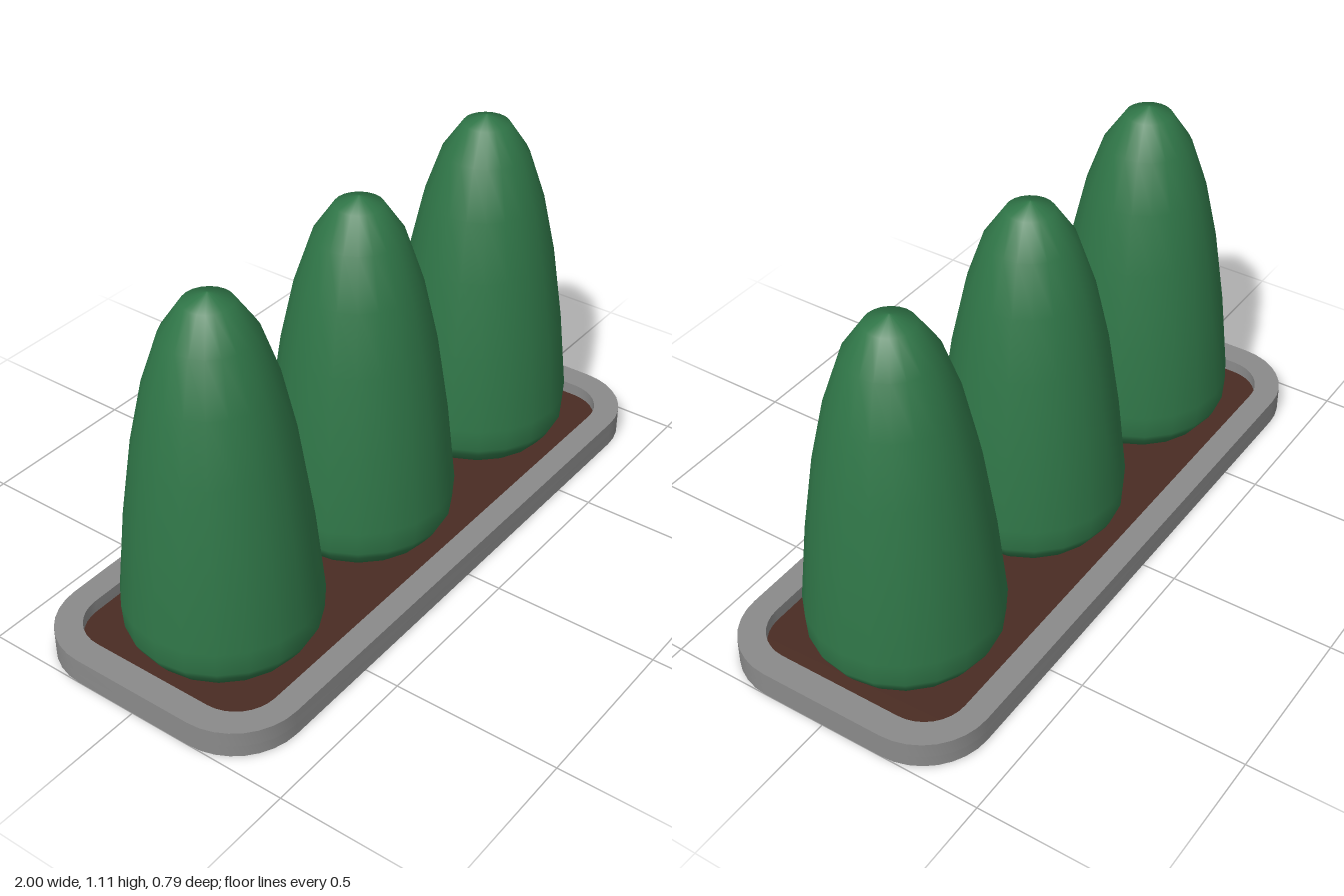
import * as THREE from 'three';
import { toCreasedNormals } from 'three/addons/utils/BufferGeometryUtils.js';

// Rounded rectangle outline, centred on the origin
function roundedRect(Type, halfW, halfD, r) {
  const s = new Type();
  s.absarc(halfW - r, halfD - r, r, 0, Math.PI / 2);
  s.absarc(-halfW + r, halfD - r, r, Math.PI / 2, Math.PI);
  s.absarc(-halfW + r, -halfD + r, r, Math.PI, Math.PI * 1.5);
  s.absarc(halfW - r, -halfD + r, r, Math.PI * 1.5, Math.PI * 2);
  s.closePath();
  return s;
}

// Horizontal slab of a given outline from y = bottom to y = top
function slab(name, shape, bottom, top, material) {
  const geo = new THREE.ExtrudeGeometry(shape, {
    depth: top - bottom, bevelEnabled: false, curveSegments: 4,
  });
  geo.rotateX(-Math.PI / 2);
  geo.translate(0, bottom, 0);
  const mesh = new THREE.Mesh(toCreasedNormals(geo, 0.6), material);
  mesh.name = name;
  return mesh;
}

export function createModel() {
  const stone = new THREE.MeshStandardMaterial({ name: 'grey stone', color: 0x8a8a8a });
  const earth = new THREE.MeshStandardMaterial({ name: 'brown soil', color: 0x4a2c23 });
  const leaf = new THREE.MeshStandardMaterial({ name: 'green foliage', color: 0x2f7547 });

  const model = new THREE.Group();
  model.name = 'planter';

  // Shallow tray: floor and raised rim
  const outer = () => roundedRect(THREE.Shape, 1, 0.395, 0.2);
  model.add(slab('trayFloor', outer(), 0, 0.035, stone));
  const rim = outer();
  rim.holes.push(roundedRect(THREE.Path, 0.92, 0.32, 0.125));
  model.add(slab('trayRim', rim, 0.035, 0.08, stone));

  // Soil bed inside the rim
  model.add(slab('soil', roundedRect(THREE.Shape, 0.92, 0.32, 0.125), 0.035, 0.042, earth));

  // Three tapered bushes
  const profile = [
    [0, 0.04], [0.235, 0.042], [0.263, 0.08], [0.276, 0.105], [0.281, 0.18],
    [0.255, 0.43], [0.22, 0.667], [0.18, 0.85], [0.13, 0.997],
    [0.069, 1.087], [0, 1.113],
  ].map(([r, y]) => new THREE.Vector2(r, y));
  const bushGeo = new THREE.LatheGeometry(profile, 20);
  for (const [i, x] of [-0.62, 0, 0.62].entries()) {
    const bush = new THREE.Mesh(bushGeo, leaf);
    bush.name = 'bush' + (i + 1);
    bush.position.x = x;
    model.add(bush);
  }
  return model;
}
